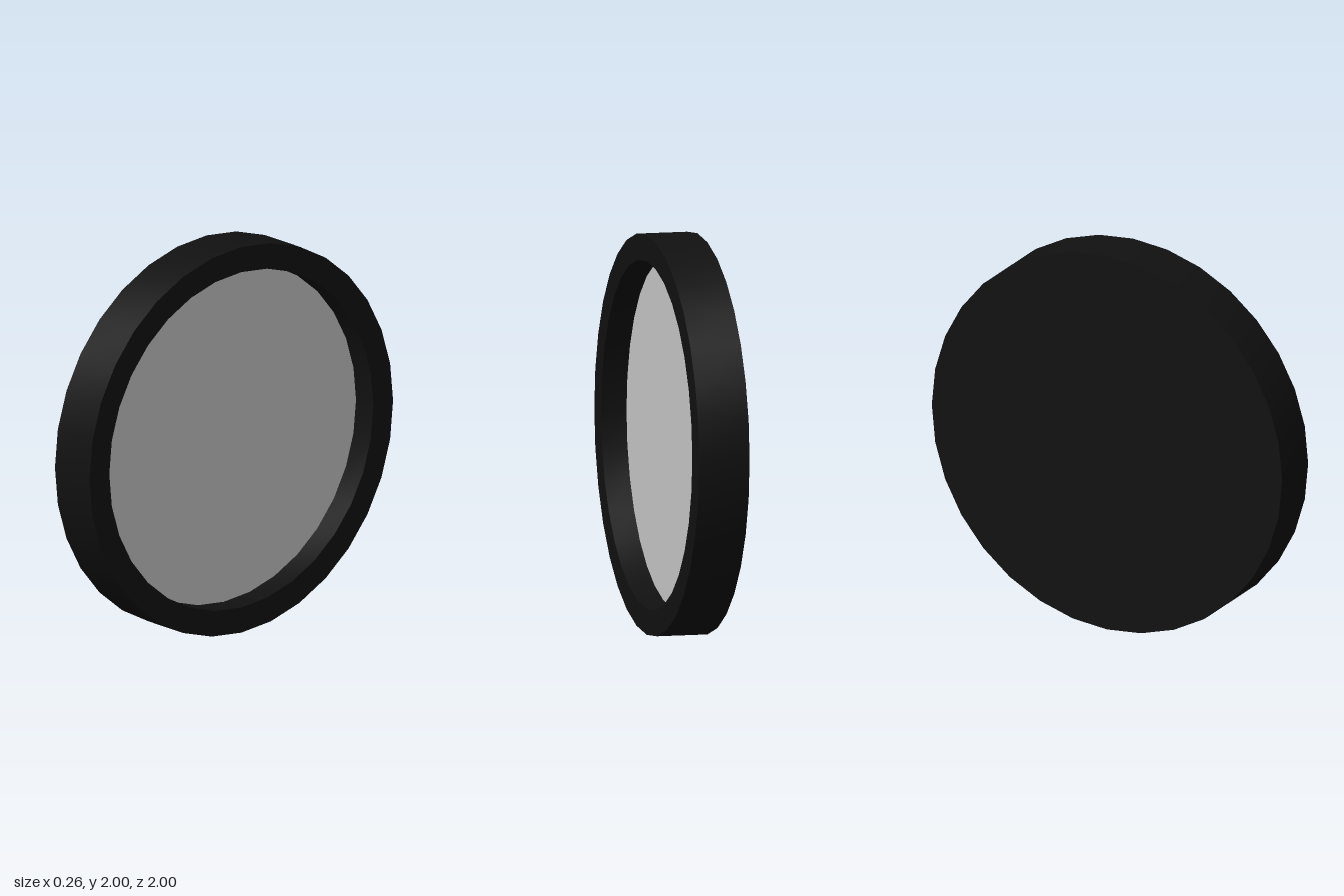
import * as THREE from 'three';
import { toCreasedNormals } from 'three/addons/utils/BufferGeometryUtils.js';

const SIDES = 32;
const HALF = 0.13;   // half the thickness
const INNER = 0.87;  // radius of the opening

export function createModel() {
  const group = new THREE.Group();
  group.name = 'roundPanel';

  // Dark shell: closed back, outer wall, front rim and recess wall
  const profile = [[0, -HALF], [1, -HALF], [1, HALF], [INNER, HALF], [INNER, 0]]
    .map(([r, h]) => new THREE.Vector2(r, h));
  const shell = toCreasedNormals(new THREE.LatheGeometry(profile, SIDES), Math.PI / 6);
  shell.rotateZ(-Math.PI / 2);
  const housing = new THREE.Mesh(shell, new THREE.MeshStandardMaterial({ color: 0x111111 }));
  housing.name = 'housing';

  // Pale disc set halfway into the opening, facing +x
  const disc = new THREE.CircleGeometry(INNER, SIDES).rotateY(Math.PI / 2);
  const face = new THREE.Mesh(disc, new THREE.MeshStandardMaterial({ color: 0xcccccc }));
  face.name = 'facePanel';

  housing.position.y = face.position.y = 1;
  group.add(housing, face);
  return group;
}
